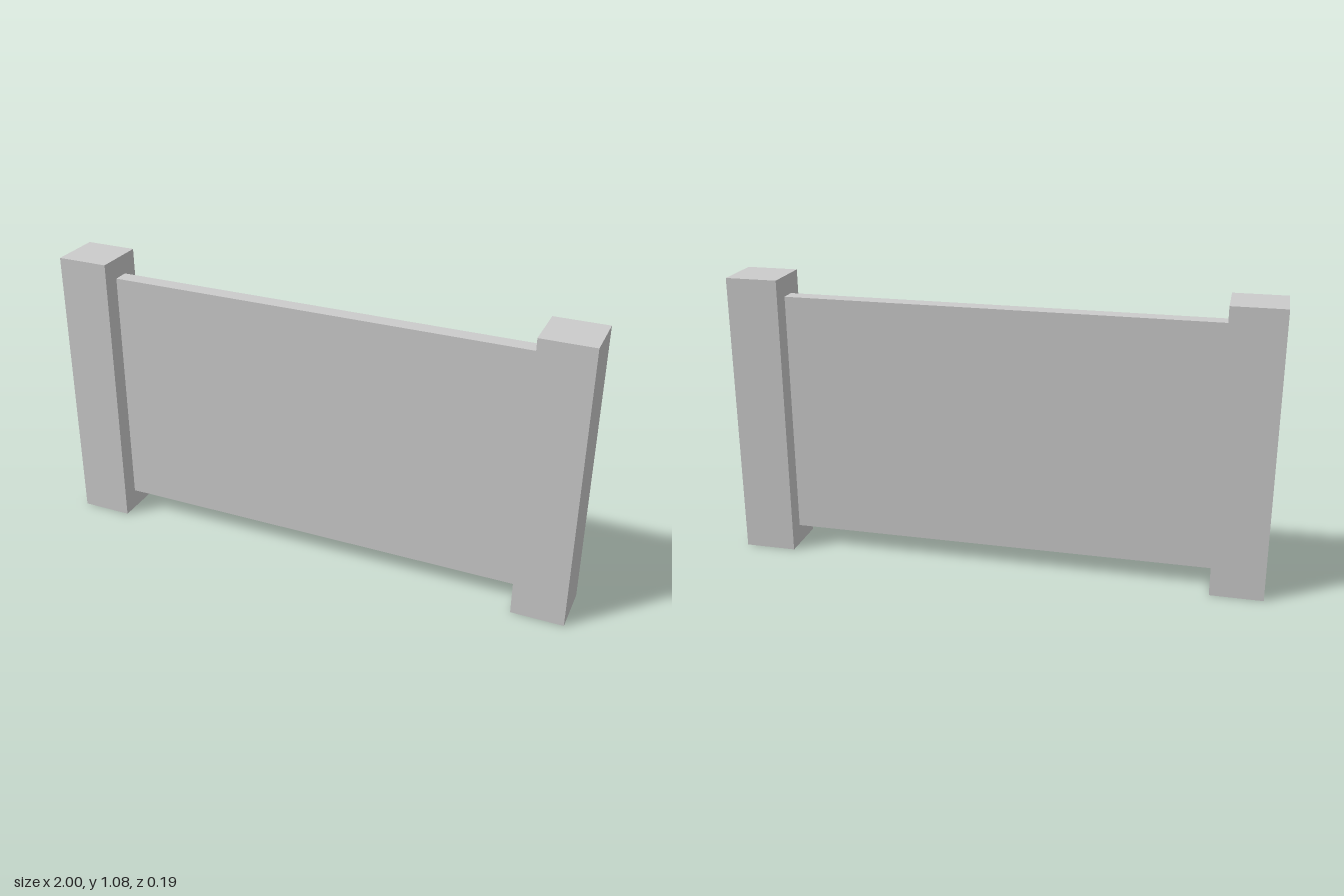
import * as THREE from 'three';

const POST = { width: 0.195, height: 1.075, depth: 0.195 };
const PANEL = { bottom: 0.075, top: 1.0, depth: 0.06 };

export function createModel() {
  const model = new THREE.Group();
  model.name = 'fenceSection';
  const material = new THREE.MeshStandardMaterial({ color: 0xcccccc });

  const addBox = (name, width, height, depth, x, bottom) => {
    const mesh = new THREE.Mesh(new THREE.BoxGeometry(width, height, depth), material);
    mesh.name = name;
    mesh.position.set(x, bottom + height / 2, 0);
    model.add(mesh);
  };

  // Square posts at both ends
  for (const [name, side] of [['leftPost', 1], ['rightPost', -1]]) {
    addBox(name, POST.width, POST.height, POST.depth, side * (1 - POST.width / 2), 0);
  }

  // Thin panel spanning the posts, raised off the ground
  addBox('panel', 2 - 2 * POST.width, PANEL.top - PANEL.bottom, PANEL.depth, 0, PANEL.bottom);

  return model;
}
